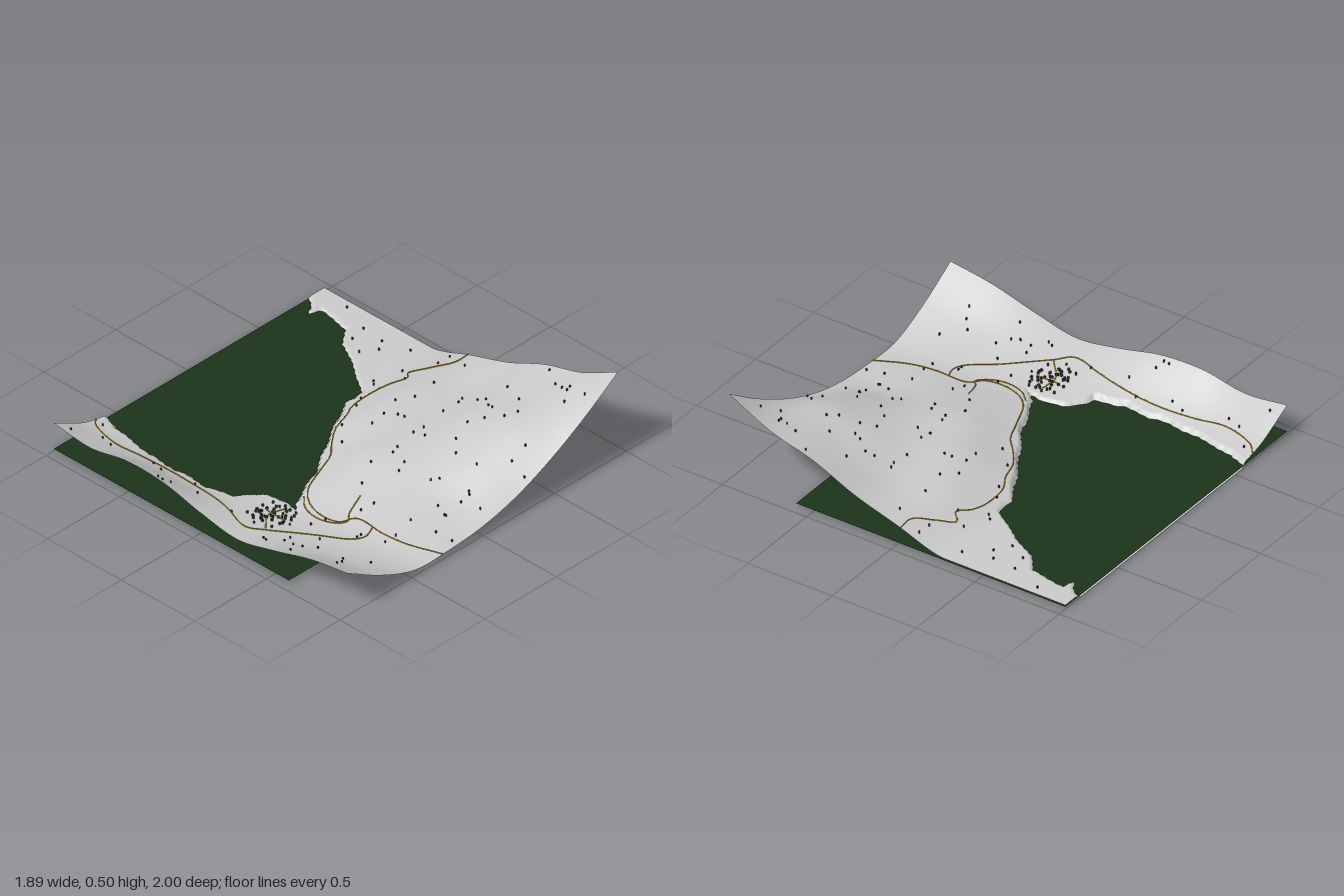
import * as THREE from 'three';
import { mergeGeometries } from 'three/addons/utils/BufferGeometryUtils.js';

const HALF_X = 0.945, HALF_Z = 1, WATER_Y = 0.012;

// Land heights on a coarse grid: rows run back to front, columns from -x to +x
const HEIGHTS = [
  [.165, .055, .022, .022, .022, .022, .022, .022, .022],
  [.14, .045, .022, .022, .022, .022, .022, .022, .022],
  [.183, .043, .022, .022, .022, .022, .022, .022, .022],
  [.175, .045, .022, .022, .022, .022, .025, .03, .025],
  [.12, .055, .025, .022, .045, .095, .115, .11, .11],
  [.085, .045, .03, .075, .125, .14, .145, .155, .19],
  [.14, .06, .03, .07, .122, .175, .225, .25, .30],
  [.21, .085, .035, .055, .09, .19, .28, .325, .375],
  [.25, .12, .033, .032, .055, .115, .215, .345, .50],
];

// Shoreline (x, z)
const SHORE = [
  [-.56, -1.15], [-.57, -1], [-.62, -.88], [-.65, -.68], [-.67, -.5], [-.66, -.36], [-.67, -.22],
  [-.63, -.07], [-.55, -.03], [-.5, .03], [-.48, .12], [-.51, .24], [-.45, .17], [-.35, .12],
  [-.2, .06], [-.06, -.03], [.06, -.1], [.2, -.18], [.33, -.25], [.45, -.26], [.52, -.37],
  [.6, -.47], [.67, -.61], [.77, -.68], [.79, -.78], [.8, -.89], [.74, -.91], [.8, -.94],
  [.84, -1], [.85, -1.15],
];

const ROADS = {
  westRoad: [[-.65, -1], [-.7, -.95], [-.75, -.77], [-.73, -.6], [-.72, -.4], [-.74, -.15], [-.77, 0],
    [-.82, .18], [-.76, .26], [-.6, .46], [-.5, .6], [-.44, .63], [-.37, .61]],
  shoreRoad: [[-.28, 1], [-.35, .82], [-.37, .68], [-.37, .5], [-.44, .45], [-.46, .35], [-.43, .24],
    [-.36, .16], [-.2, .09], [-.08, .04], [0, -.03], [.1, -.1], [.22, -.14], [.3, -.18], [.45, -.19],
    [.55, -.17], [.63, -.13], [.68, -.17], [.76, -.1], [.85, -.02], [.945, -.02]],
  loopRoad: [[-.25, .41], [-.37, .45], [-.41, .48], [-.46, .44], [-.49, .35], [-.47, .25], [-.41, .18]],
  villageRoad: [[-.76, .26], [-.65, .17], [-.6, .17], [-.55, .18]],
  villageLane: [[-.62, .13], [-.62, .19], [-.62, .26]],
};

const catmull = (a, b, c, d, t) =>
  b + 0.5 * t * (c - a + t * (2 * a - 5 * b + 4 * c - d + t * (3 * (b - c) + d - a)));

function spline(values, u) {
  const last = values.length - 1;
  const i = Math.min(Math.floor(u), last - 1);
  const first = i > 0 ? values[i - 1] : 2 * values[0] - values[1];
  const end = i + 2 <= last ? values[i + 2] : 2 * values[last] - values[last - 1];
  return catmull(first, values[i], values[i + 1], end, u - i);
}

// Signed distance to the shore: positive on land, negative in the lake
function shoreDistance(x, z) {
  let best = Infinity, inside = false;
  for (let i = 0, j = SHORE.length - 1; i < SHORE.length; j = i++) {
    const [ax, az] = SHORE[j], [bx, bz] = SHORE[i];
    const ex = bx - ax, ez = bz - az;
    const t = THREE.MathUtils.clamp(((x - ax) * ex + (z - az) * ez) / (ex * ex + ez * ez), 0, 1);
    best = Math.min(best, Math.hypot(x - ax - t * ex, z - az - t * ez));
    if ((az > z) !== (bz > z) && x < ax + ex * (z - az) / ez) inside = !inside;
  }
  const ripple = 0.005 * Math.sin(x * 47 + z * 31) + 0.003 * Math.sin(x * 83 - z * 97);
  return (inside ? -best : best) + ripple;
}

function groundHeight(x, z) {
  const u = THREE.MathUtils.clamp((x + HALF_X) / (2 * HALF_X), 0, 1) * 8;
  const v = THREE.MathUtils.clamp((z + HALF_Z) / (2 * HALF_Z), 0, 1) * 8;
  const land = Math.max(0.022, spline(HEIGHTS.map((row) => spline(row, u)), v));
  return land * THREE.MathUtils.smoothstep(shoreDistance(x, z), -0.015, 0.015);
}

function seeded(seed) {
  return () => (seed = (seed * 16807) % 2147483647) / 2147483647;
}

function makeTerrain() {
  const geometry = new THREE.PlaneGeometry(2 * HALF_X, 2 * HALF_Z, 170, 180).rotateX(-Math.PI / 2);
  const p = geometry.attributes.position;
  for (let i = 0; i < p.count; i++) p.setY(i, groundHeight(p.getX(i), p.getZ(i)));
  geometry.computeVertexNormals();
  return geometry;
}

// Thin line draped over the ground
function makeRoad(points) {
  const flat = new THREE.CatmullRomCurve3(points.map(([x, z]) => new THREE.Vector3(x, 0, z)), false, 'centripetal');
  const count = Math.ceil(flat.getLength() / 0.02);
  const draped = flat.getSpacedPoints(count).map((q) => q.setY(groundHeight(q.x, q.z) + 0.003));
  return new THREE.TubeGeometry(new THREE.CatmullRomCurve3(draped), count * 2, 0.003, 5);
}

// Four open walls of one tiny building
function makeHouse(x, z, size, angle) {
  return new THREE.CylinderGeometry(size, size, 0.012, 4, 1, true)
    .rotateY(angle)
    .translate(x, groundHeight(x, z) + 0.005, z);
}

export function createModel() {
  const model = new THREE.Group();
  const add = (name, geometry, color) => {
    const material = new THREE.MeshStandardMaterial({ color, side: THREE.DoubleSide });
    const mesh = new THREE.Mesh(geometry, material);
    mesh.name = name;
    model.add(mesh);
  };

  add('terrain', makeTerrain(), 0xcccccc);

  // Water sheet stops short of the front edge
  add('water', new THREE.PlaneGeometry(2 * HALF_X, 1.6).rotateX(-Math.PI / 2).translate(0, WATER_Y, -0.2), 0x1d3319);

  for (const [name, points] of Object.entries(ROADS)) add(name, makeRoad(points), 0xd4a514);

  // Village cluster by the inlet, then scattered houses over the slopes
  const random = seeded(71);
  const village = [], scattered = [];
  while (village.length < 45) {
    const x = -0.73 + 0.22 * random(), z = 0.08 + 0.2 * random();
    if (shoreDistance(x, z) > 0.03) village.push(makeHouse(x, z, 0.007, random() * 3));
  }
  while (scattered.length < 110) {
    const x = (random() * 2 - 1) * 0.92, z = (random() * 2 - 1) * 0.97;
    if (shoreDistance(x, z) > 0.04) scattered.push(makeHouse(x, z, 0.005, random() * 3));
  }
  add('villageHouses', mergeGeometries(village), 0x444444);
  add('scatteredHouses', mergeGeometries(scattered), 0x444444);

  return model;
}
